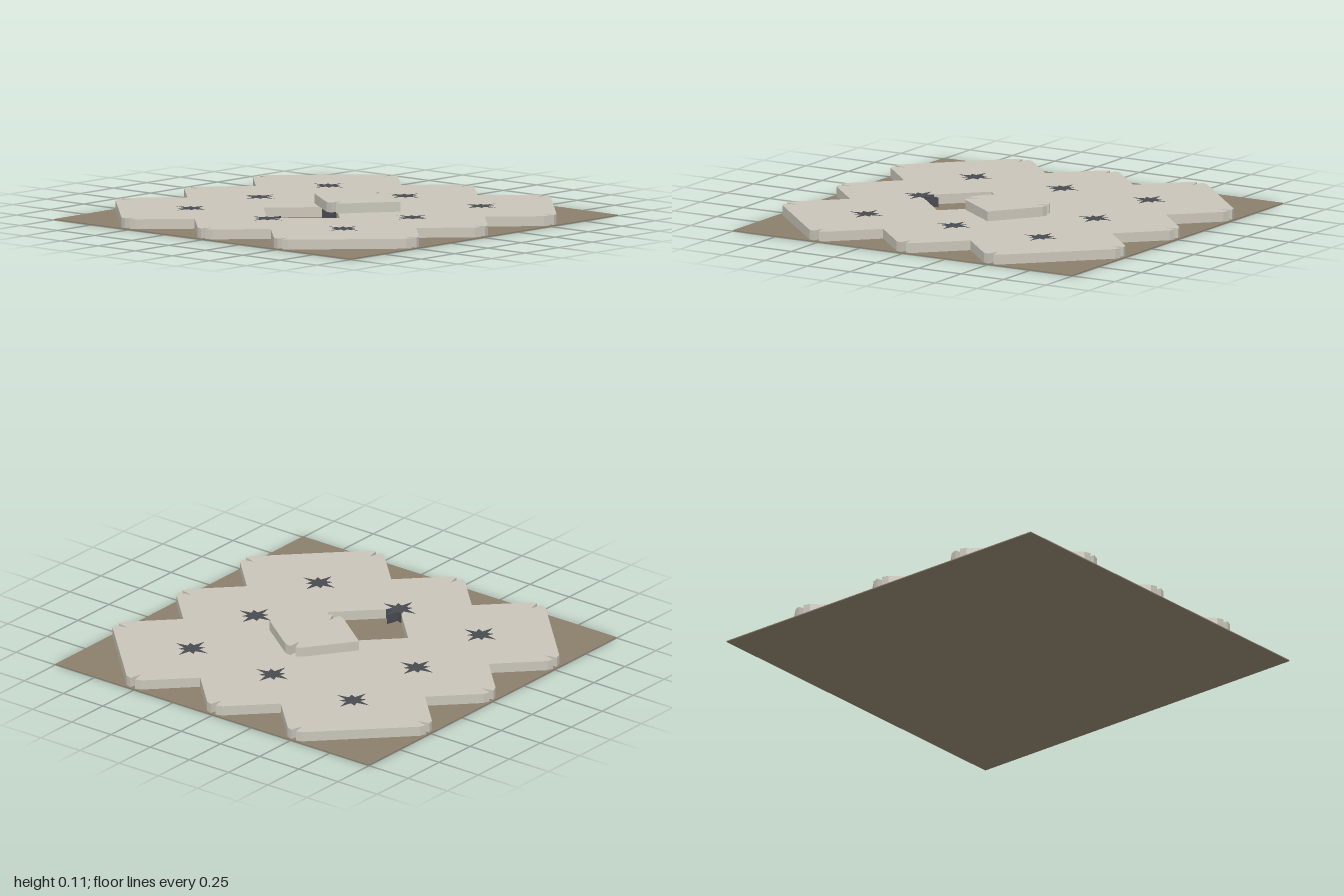
import * as THREE from 'three';

const HALF = 0.257;      // half diagonal of a tile
const PITCH = HALF * 2;  // spacing of the star pegs
const BASE = 0.005;      // thickness of the ground sheet
const THICK = 0.05;      // thickness of tiles and pegs
const LONG = 0.104, SHORT = 0.068, INNER = 0.04; // star radii

const polar = (r, a) => [r * Math.cos(a), r * Math.sin(a)];

// Upright slab from a flat outline, standing on y = 0
function slab(points) {
  const shape = new THREE.Shape(points.map(([x, y]) => new THREE.Vector2(x, y)));
  const geo = new THREE.ExtrudeGeometry(shape, { depth: THICK, bevelEnabled: false });
  return geo.rotateX(-Math.PI / 2);
}

// Eight-pointed star with alternating long and short points
function starGeometry() {
  const pts = [];
  for (let i = 0; i < 16; i++) {
    const r = i % 2 ? INNER : i % 4 ? SHORT : LONG;
    pts.push(polar(r, (i * Math.PI) / 8));
  }
  return slab(pts);
}

// Diamond whose two opposite tips are cut out by a quarter of the star
function tileGeometry() {
  const tip = [SHORT, INNER, LONG, INNER, SHORT].map((r, i) => {
    const [x, y] = polar(r, Math.PI / 4 - (i * Math.PI) / 8);
    return [HALF - x, -y];
  });
  const turned = tip.map(([x, y]) => [-x, -y]);
  return slab([...tip, [0, HALF], ...turned, [0, -HALF]]);
}

export function createModel() {
  const stone = new THREE.MeshStandardMaterial({ color: 0xc8c4b8 });
  stone.name = 'pale stone';
  const earth = new THREE.MeshStandardMaterial({ color: 0x8b7e6b });
  earth.name = 'brown earth';
  const slate = new THREE.MeshStandardMaterial({ color: 0x484b50 });
  slate.name = 'dark slate';

  const model = new THREE.Group();
  model.name = 'tiledFloor';
  const add = (name, geo, mat, x, y, z, turn = 0) => {
    const mesh = new THREE.Mesh(geo, mat);
    mesh.name = name;
    mesh.position.set(x, y, z);
    mesh.rotation.y = turn;
    model.add(mesh);
  };

  // Ground sheet
  add('groundSheet', new THREE.BoxGeometry(2, BASE, 2), earth, 0, BASE / 2, 0);

  const tile = tileGeometry();
  const star = starGeometry();

  // Star pegs on a three by three grid
  for (let i = -1; i <= 1; i++)
    for (let j = -1; j <= 1; j++) add('starPeg', star, slate, i * PITCH, BASE, j * PITCH);

  // Tiles linking the pegs along x and along z, with one place left empty
  for (let row = -1; row <= 1; row++)
    for (let k = -1.5; k <= 1.5; k++) {
      if (!(row === 0 && k === -0.5)) add('tileAlongX', tile, stone, k * PITCH, BASE, row * PITCH);
      add('tileAlongZ', tile, stone, row * PITCH, BASE, k * PITCH, Math.PI / 2);
    }

  // Lifted tile resting on the floor beside its empty place
  add('looseTile', tile, stone, 0.056, BASE + THICK + 0.001, 0.094, 0.157);

  return model;
}
